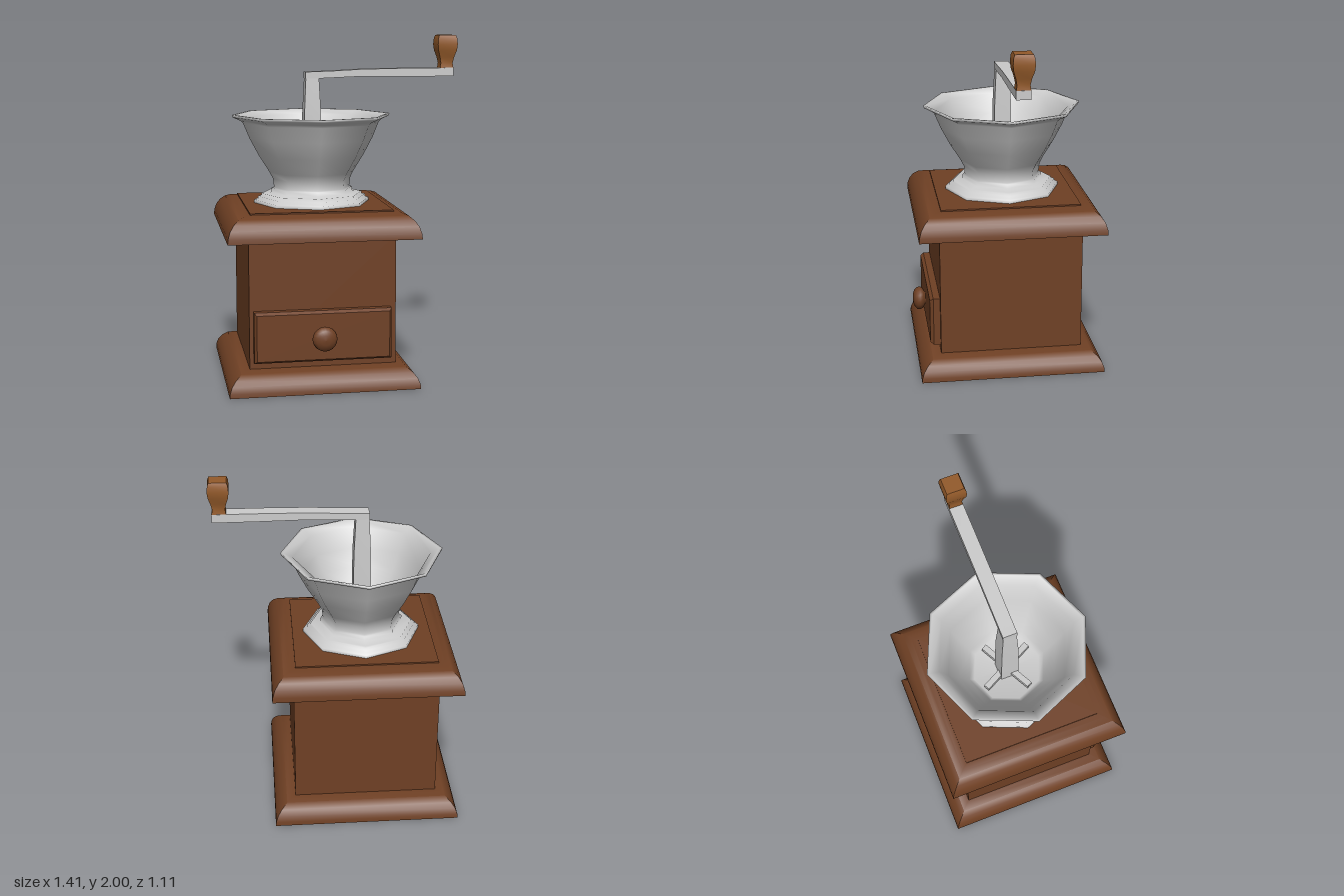
import * as THREE from 'three';
import { toCreasedNormals } from 'three/addons/utils/BufferGeometryUtils.js';

const wood = new THREE.MeshStandardMaterial({ color: 0x6f4024 });
const lightWood = new THREE.MeshStandardMaterial({ color: 0x935a2a });
const metal = new THREE.MeshStandardMaterial({ color: 0xcccccc });
const points = (list) => list.map(([x, y]) => new THREE.Vector2(x, y));

// Square moulding: profile of [half width, y], swept round four sides
function squareTurned(profile, crease = 0.8) {
  const geometry = new THREE.LatheGeometry(points(profile.map(([w, y]) => [w * Math.SQRT2, y])), 4);
  geometry.rotateY(Math.PI / 4);
  return toCreasedNormals(geometry, crease);
}

export function createModel() {
  const model = new THREE.Group();
  const mill = new THREE.Group();
  mill.name = 'coffeeMill';
  mill.position.set(-0.16, 0, -0.005);
  model.add(mill);

  function add(name, geometry, material, x = 0, y = 0, z = 0) {
    const mesh = new THREE.Mesh(geometry, material);
    mesh.name = name;
    mesh.position.set(x, y, z);
    mill.add(mesh);
    return mesh;
  }

  // Wooden box with rounded mouldings
  add('base', squareTurned([
    [0, 0], [0.547, 0], [0.545, 0.025], [0.533, 0.058], [0.51, 0.088],
    [0.475, 0.115], [0.435, 0.128], [0.41, 0.13], [0, 0.13],
  ]), wood);
  add('body', new THREE.BoxGeometry(0.844, 0.76, 0.844), wood, 0, 0.5);
  add('lid', squareTurned([
    [0, 0.87], [0.547, 0.87], [0.545, 0.9], [0.532, 0.94], [0.51, 0.972],
    [0.48, 0.997], [0.445, 1.01], [0.41, 1.012], [0, 1.012],
  ]), wood);
  add('lidPanel', new THREE.BoxGeometry(0.82, 0.02, 0.82), wood, 0, 1.01);

  // Drawer front with bevelled edge, and its round pull
  const front = new THREE.Shape(points([[-0.38, -0.133], [0.38, -0.133], [0.38, 0.133], [-0.38, 0.133]]));
  add('drawerFront', new THREE.ExtrudeGeometry(front, {
    depth: 0.04, bevelThickness: 0.02, bevelSize: 0.014, bevelSegments: 1,
  }), wood, -0.005, 0.317, 0.422);
  const pull = new THREE.LatheGeometry(points([
    [0.035, 0], [0.04, 0.012], [0.062, 0.022], [0.071, 0.04], [0.068, 0.058],
    [0.052, 0.074], [0.028, 0.083], [0, 0.085],
  ]), 20);
  pull.rotateX(Math.PI / 2);
  add('drawerPull', pull, wood, -0.005, 0.312, 0.475);

  // Eight-sided hopper: stepped foot, neck, flaring wall, rim and inner wall
  add('hopper', new THREE.LatheGeometry(points([
    [0.345, 1.018], [0.345, 1.038], [0.322, 1.042], [0.322, 1.058], [0.3, 1.062],
    [0.3, 1.075], [0.242, 1.08], [0.242, 1.105], [0.226, 1.11], [0.232, 1.16],
    [0.252, 1.2], [0.315, 1.3], [0.368, 1.4], [0.405, 1.49], [0.42, 1.505],
    [0.465, 1.525], [0.47, 1.54], [0.455, 1.54], [0.4, 1.51], [0.35, 1.4],
    [0.295, 1.3], [0.23, 1.2], [0.2, 1.165], [0, 1.15],
  ]), 8), metal);

  // Crossed blades on the hopper floor
  for (const angle of [0.48, 0.48 + Math.PI / 2]) {
    add('blade', new THREE.BoxGeometry(0.35, 0.03, 0.035), metal, 0, 1.19).rotation.y = angle;
  }

  // Tapering square shaft
  add('shaft', squareTurned([[0, 1.15], [0.053, 1.15], [0.049, 1.54], [0.038, 1.77], [0, 1.77]]), metal);

  // Crank arm with a slight upward bend
  const arm = new THREE.Shape(points([
    [-0.04, 1.75], [0.05, 1.75], [0.3, 1.76], [0.6, 1.757], [0.85, 1.757],
    [0.85, 1.807], [0.55, 1.806], [0.3, 1.802], [0.1, 1.792], [-0.04, 1.788],
  ]));
  add('crankArm', toCreasedNormals(
    new THREE.ExtrudeGeometry(arm, { depth: 0.082, bevelEnabled: false }), 0.6), metal, 0, 0, -0.041);

  // Four-sided grip
  add('crankGrip', squareTurned([
    [0, 1.805], [0.04, 1.805], [0.036, 1.835], [0.043, 1.87], [0.056, 1.91],
    [0.06, 1.945], [0.057, 1.98], [0.05, 2], [0, 2],
  ]), lightWood, 0.808);

  return model;
}
